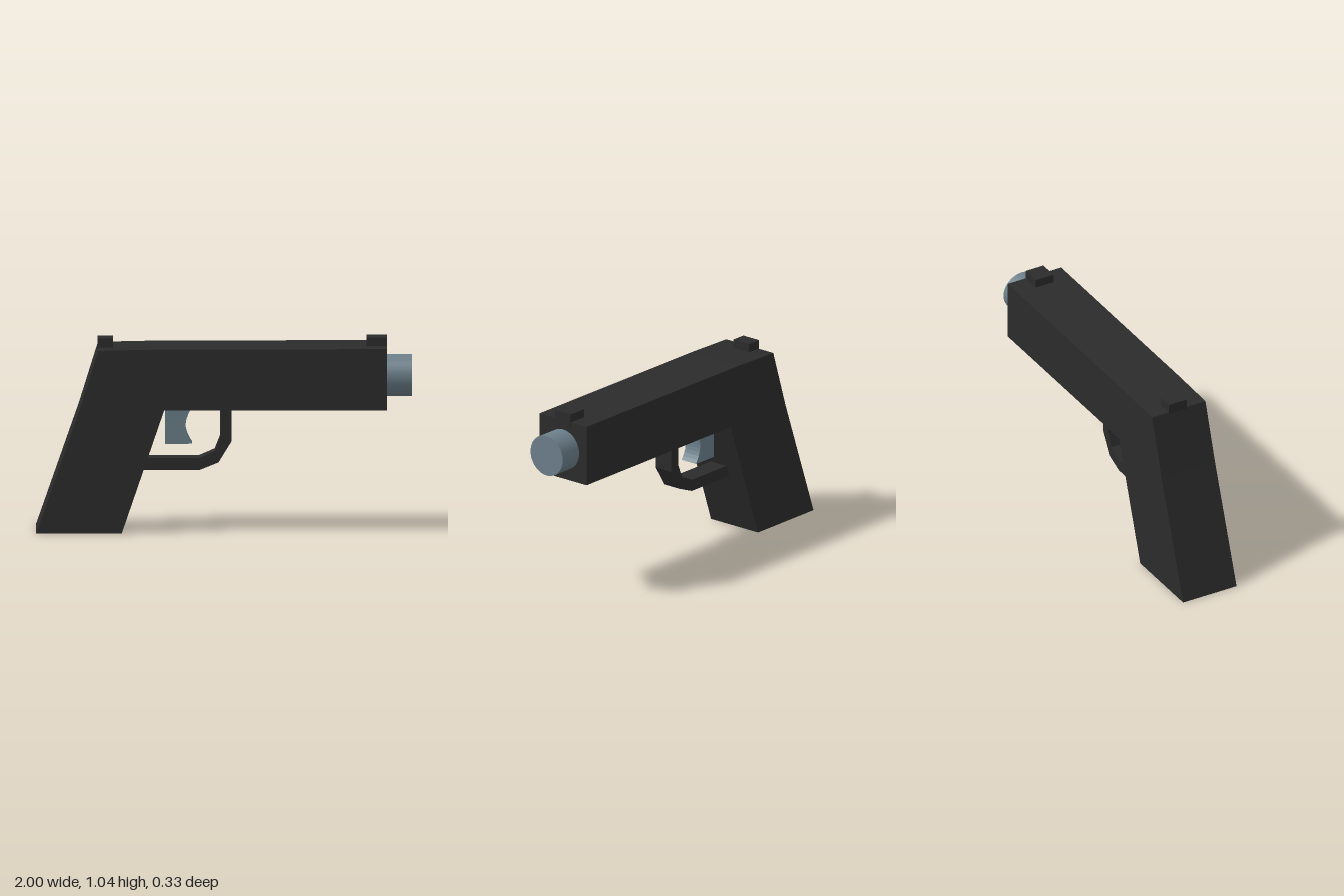
import * as THREE from 'three';

const dark = new THREE.MeshStandardMaterial({ color: 0x2b2b2b });
const steel = new THREE.MeshStandardMaterial({ color: 0x6c7f8a });

// Side profile extruded to a given width, centred on z = 0
function slab(name, shape, width, material) {
  const geometry = new THREE.ExtrudeGeometry(shape, { depth: width, bevelEnabled: false, curveSegments: 10 });
  geometry.translate(0, 0, -width / 2);
  const mesh = new THREE.Mesh(geometry, material);
  mesh.name = name;
  return mesh;
}

const outline = (points) => new THREE.Shape(points.map(([x, y]) => new THREE.Vector2(x, y)));

// Small box given by its x and y limits
function sight(name, x0, x1, y0, y1, z) {
  const mesh = new THREE.Mesh(new THREE.BoxGeometry(x1 - x0, y1 - y0, 0.11), dark);
  mesh.position.set((x0 + x1) / 2, (y0 + y1) / 2, z);
  mesh.name = name;
  return mesh;
}

export function createModel() {
  const model = new THREE.Group();
  model.name = 'toyPistol';

  // Slanted grip and long top housing in one piece
  model.add(slab('body', outline([
    [-1, 0], [-0.545, 0], [-0.32, 0.66], [0.865, 0.66],
    [0.865, 0.99], [-0.38, 0.988], [-0.67, 0.982], [-0.77, 0.66],
  ]), 0.328, dark));

  // Angular hoop around the trigger
  model.add(slab('triggerGuard', outline([
    [-0.435, 0.325], [-0.13, 0.325], [-0.03, 0.365], [0.04, 0.48], [0.04, 0.67],
    [-0.02, 0.67], [-0.02, 0.5], [-0.05, 0.425], [-0.135, 0.388], [-0.415, 0.388],
  ]), 0.11, dark));

  // Trigger with a hollowed front edge
  const trigger = outline([[-0.315, 0.67], [-0.315, 0.465], [-0.17, 0.465]]);
  trigger.quadraticCurveTo(-0.24, 0.56, -0.17, 0.66);
  trigger.lineTo(-0.17, 0.67);
  model.add(slab('trigger', trigger, 0.1, steel));

  // Barrel end
  const barrel = new THREE.Mesh(new THREE.CylinderGeometry(0.112, 0.112, 0.16, 40), steel);
  barrel.rotation.z = -Math.PI / 2;
  barrel.position.set(0.92, 0.826, 0);
  barrel.name = 'barrel';
  model.add(barrel);

  // Sights
  model.add(sight('rearSight', -0.673, -0.59, 0.96, 1.03, -0.008));
  model.add(sight('frontSight', 0.758, 0.866, 0.96, 1.036, 0));

  return model;
}
